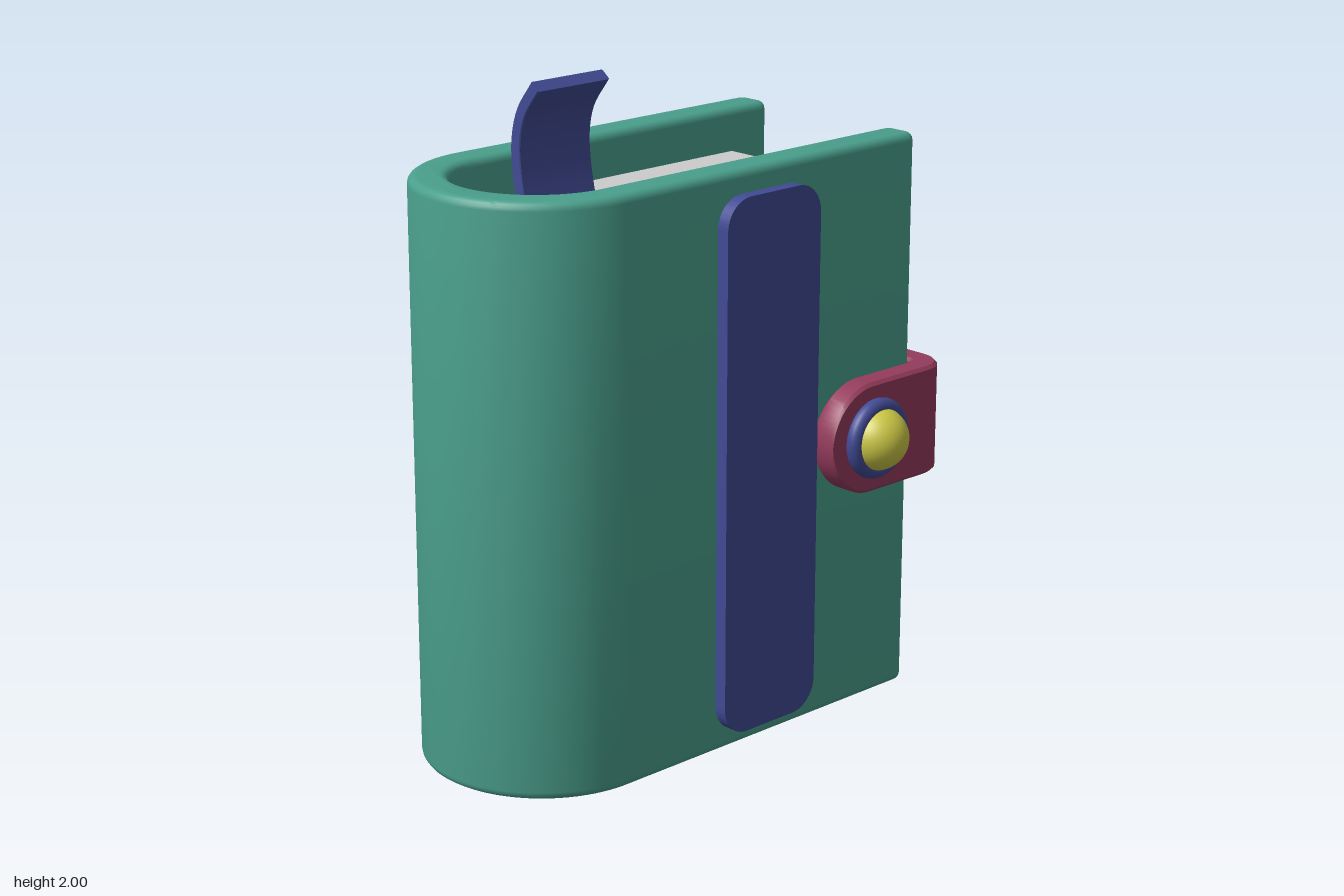
import * as THREE from 'three';
import { toCreasedNormals } from 'three/addons/utils/BufferGeometryUtils.js';

const paint = (color) => new THREE.MeshStandardMaterial({ color });
const GREEN = paint(0x4a9f8c), BLUE = paint(0x414a94), RED = paint(0x933b5b), YELLOW = paint(0xcbc746);
const GREY = paint(0xcccccc);

function add(group, name, geometry, material, x = 0, y = 0, z = 0) {
  const mesh = new THREE.Mesh(geometry, material);
  mesh.name = name;
  mesh.position.set(x, y, z);
  group.add(mesh);
  return mesh;
}

// Extrudes a plan outline up the y axis, from 0 to height, with rounded rims
function upright(shape, height, bevel) {
  const g = new THREE.ExtrudeGeometry(shape, {
    depth: height - 2 * bevel, bevelEnabled: bevel > 0, bevelSize: bevel, bevelThickness: bevel,
    bevelOffset: -bevel, bevelSegments: 4, curveSegments: 40,
  });
  g.translate(0, 0, bevel).rotateX(-Math.PI / 2);
  return toCreasedNormals(g, 0.6);
}

// Sweeps a flat band along points in the xy plane; its width runs along z
function sweepBand(points, widths, thickness, bevel) {
  const pos = [], index = [], n = 8, h = thickness / 2;
  points.forEach((p, i) => {
    const t = points[Math.min(i + 1, points.length - 1)].clone().sub(points[Math.max(i - 1, 0)]).normalize();
    const w = widths[i], b = Math.min(bevel, w);
    const loop = [[h, b - w], [h, w - b], [h - b, w], [b - h, w], [-h, w - b], [-h, b - w], [b - h, -w], [h - b, -w]];
    for (const [a, z] of loop) pos.push(p.x - t.y * a, p.y + t.x * a, z);
    if (i === 0) return;
    for (let j = 0; j < n; j++) {
      const k = (j + 1) % n, r0 = (i - 1) * n, r1 = i * n;
      index.push(r0 + j, r0 + k, r1 + j, r0 + k, r1 + k, r1 + j);
    }
  });
  const last = (points.length - 1) * n;
  for (let j = 1; j < n - 1; j++) index.push(0, j + 1, j, last, last + j, last + j + 1);
  const g = new THREE.BufferGeometry();
  g.setAttribute('position', new THREE.Float32BufferAttribute(pos, 3));
  g.setIndex(index);
  return toCreasedNormals(g, 0.6);
}

// U-shaped plan of the cover, open toward +x
function coverShape(xArc, xEnd, outer, inner, r) {
  const s = new THREE.Shape();
  s.moveTo(xEnd - r, outer);
  s.lineTo(xArc, outer);
  s.absarc(xArc, 0, outer, Math.PI / 2, Math.PI * 1.5, false);
  s.lineTo(xEnd - r, -outer);
  s.absarc(xEnd - r, r - outer, r, -Math.PI / 2, 0, false);
  s.lineTo(xEnd, -inner - r);
  s.absarc(xEnd - r, -inner - r, r, 0, Math.PI / 2, false);
  s.lineTo(xArc, -inner);
  s.absarc(xArc, 0, inner, Math.PI * 1.5, Math.PI / 2, true);
  s.lineTo(xEnd - r, inner);
  s.absarc(xEnd - r, inner + r, r, -Math.PI / 2, 0, false);
  s.lineTo(xEnd, outer - r);
  s.absarc(xEnd - r, outer - r, r, 0, Math.PI / 2, false);
  return s;
}

function roundedRect(w, h, r) {
  const s = new THREE.Shape(), x = w / 2 - r, y = h / 2 - r;
  s.absarc(x, y, r, 0, Math.PI / 2, false);
  s.absarc(-x, y, r, Math.PI / 2, Math.PI, false);
  s.absarc(-x, -y, r, Math.PI, Math.PI * 1.5, false);
  s.absarc(x, -y, r, Math.PI * 1.5, Math.PI * 2, false);
  s.closePath();
  return s;
}

export function createModel() {
  const book = new THREE.Group();
  book.name = 'book';
  const zMid = -0.053, xArc = -0.437;

  // Cover and page block
  add(book, 'cover', upright(coverShape(xArc, 0.718, 0.365, 0.25, 0.03), 1.74, 0.025), GREEN, 0, 0, zMid);
  const pageShape = new THREE.Shape();
  pageShape.moveTo(0.56, 0.25);
  pageShape.lineTo(xArc, 0.25);
  pageShape.absarc(xArc, 0, 0.25, Math.PI / 2, Math.PI * 1.5, false);
  pageShape.lineTo(0.56, -0.25);
  add(book, 'pages', upright(pageShape, 1.47, 0), GREY, 0, 0.135, zMid);

  // Decorative band on the front cover
  const band = new THREE.ExtrudeGeometry(roundedRect(0.37, 1.61, 0.09), { depth: 0.04, bevelEnabled: false, curveSegments: 12 });
  add(book, 'frontBand', toCreasedNormals(band, 0.6), BLUE, 0.075, 0.87, 0.325);

  // Clasp strap: round tip, front run, two bends, back run, round tip
  const half = 0.17, tip = 0.29, zFront = 0.36, zBack = -0.465, xOut = 0.76, bend = 0.06;
  const path = [], widths = [];
  const put = (x, z, w = half) => { path.push(new THREE.Vector2(x, z)); widths.push(w); };
  const tipAt = (a, z) => put(tip + half * (1 - Math.cos(a)), z, half * Math.sin(a));
  const steps = 16, quarter = Math.PI / 2;
  for (let i = 0; i <= steps; i++) tipAt(quarter * i / steps, zFront);
  for (let i = 0; i <= 10; i++) {
    const a = quarter * (1 - i / 10);
    put(xOut - bend + bend * Math.cos(a), zFront - bend + bend * Math.sin(a));
  }
  for (let i = 0; i <= 10; i++) {
    const a = -quarter * i / 10;
    put(xOut - bend + bend * Math.cos(a), zBack + bend + bend * Math.sin(a));
  }
  for (let i = steps; i >= 0; i--) tipAt(quarter * i / steps, zBack);
  add(book, 'claspStrap', sweepBand(path, widths, 0.08, 0.01).rotateX(quarter), RED, 0, 0.87, 0);

  // Clasp button and its collar
  add(book, 'claspButton', new THREE.SphereGeometry(0.096, 40, 28), YELLOW, 0.468, 0.87, 0.409);
  add(book, 'buttonCollar', new THREE.TorusGeometry(0.098, 0.025, 16, 48), BLUE, 0.468, 0.87, 0.41);

  // Ribbon bookmark curling forward at the top
  const curl = new THREE.CatmullRomCurve3([[-0.06, 1.5], [-0.093, 1.61], [-0.117, 1.73], [-0.12, 1.82], [-0.098, 1.9], [-0.035, 1.985]]
    .map(([z, y]) => new THREE.Vector3(z, y, 0)));
  const ribbon = curl.getPoints(30).map((p) => new THREE.Vector2(p.x, p.y));
  add(book, 'ribbonBookmark', sweepBand(ribbon, ribbon.map(() => 0.132), 0.038, 0.003).rotateY(-quarter), BLUE, -0.332, 0, 0);

  return book;
}
